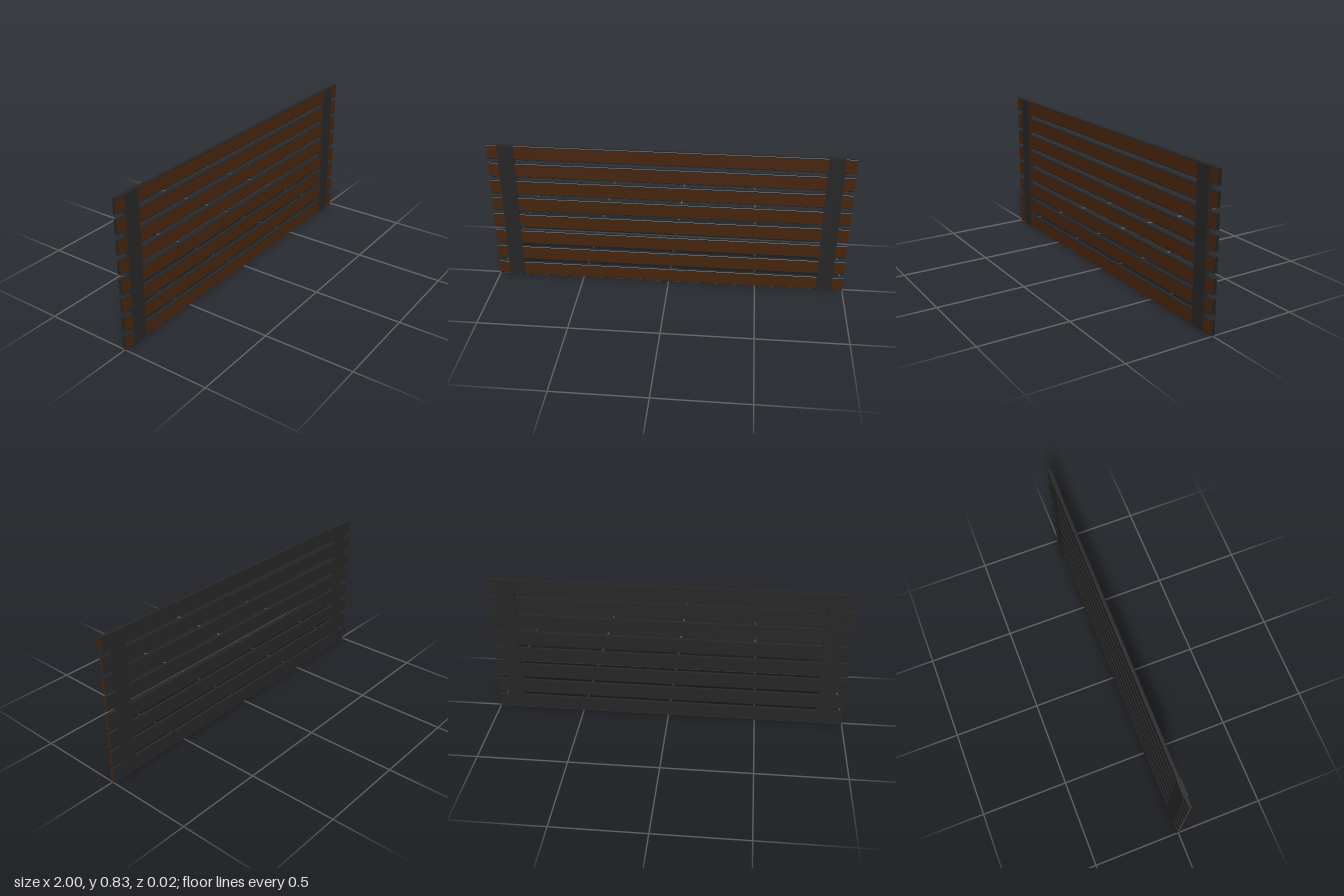
import * as THREE from 'three';

const metal = new THREE.MeshStandardMaterial({ color: 0x262626, side: THREE.DoubleSide });
const wood = new THREE.MeshStandardMaterial({ color: 0x47240c, side: THREE.DoubleSide });

const COUNT = 8, HEIGHT = 0.832, SLAT_H = 0.083, SLAT_Z = 0.0095;
const PITCH = (HEIGHT - SLAT_H) / (COUNT - 1);

// Sheet swept along x from a [z, y] cross-section; open at both ends
function sweep(profile, length) {
  const positions = [];
  for (let i = 0; i < profile.length - 1; i++) {
    const [z0, y0] = profile[i], [z1, y1] = profile[i + 1];
    const a = [-length / 2, y0, z0], b = [length / 2, y0, z0];
    const c = [length / 2, y1, z1], d = [-length / 2, y1, z1];
    positions.push(...a, ...b, ...c, ...a, ...c, ...d);
  }
  const geometry = new THREE.BufferGeometry();
  geometry.setAttribute('position', new THREE.Float32BufferAttribute(positions, 3));
  geometry.computeVertexNormals();
  return geometry;
}

export function createModel() {
  const group = new THREE.Group();
  group.name = 'slattedFencePanel';

  // Hollow slat: dark channel with narrow front lips, closed by a brown face
  const lip = 0.007, bevel = 0.002, z = SLAT_Z, h = SLAT_H;
  const channel = sweep([
    [z, h - lip], [z, h - bevel], [z - bevel, h], [-z, h],
    [-z, 0], [z - bevel, 0], [z, bevel], [z, lip],
  ], 2);
  const face = sweep([[z, lip], [z, h - lip]], 2);

  for (let i = 0; i < COUNT; i++) {
    const slat = new THREE.Group();
    slat.name = `slat${i + 1}`;
    const shell = new THREE.Mesh(channel, metal);
    shell.name = 'slatChannel';
    const front = new THREE.Mesh(face, wood);
    front.name = 'slatFace';
    slat.add(shell, front);
    slat.position.y = i * PITCH;
    group.add(slat);
  }

  // Upright posts near both ends, slightly thicker than the slats
  const postGeometry = new THREE.BoxGeometry(0.09, HEIGHT, 0.024);
  for (const side of [-1, 1]) {
    const post = new THREE.Mesh(postGeometry, metal);
    post.name = side > 0 ? 'leftPost' : 'rightPost';
    post.position.set(side * 0.895, HEIGHT / 2, 0);
    group.add(post);
  }
  return group;
}
